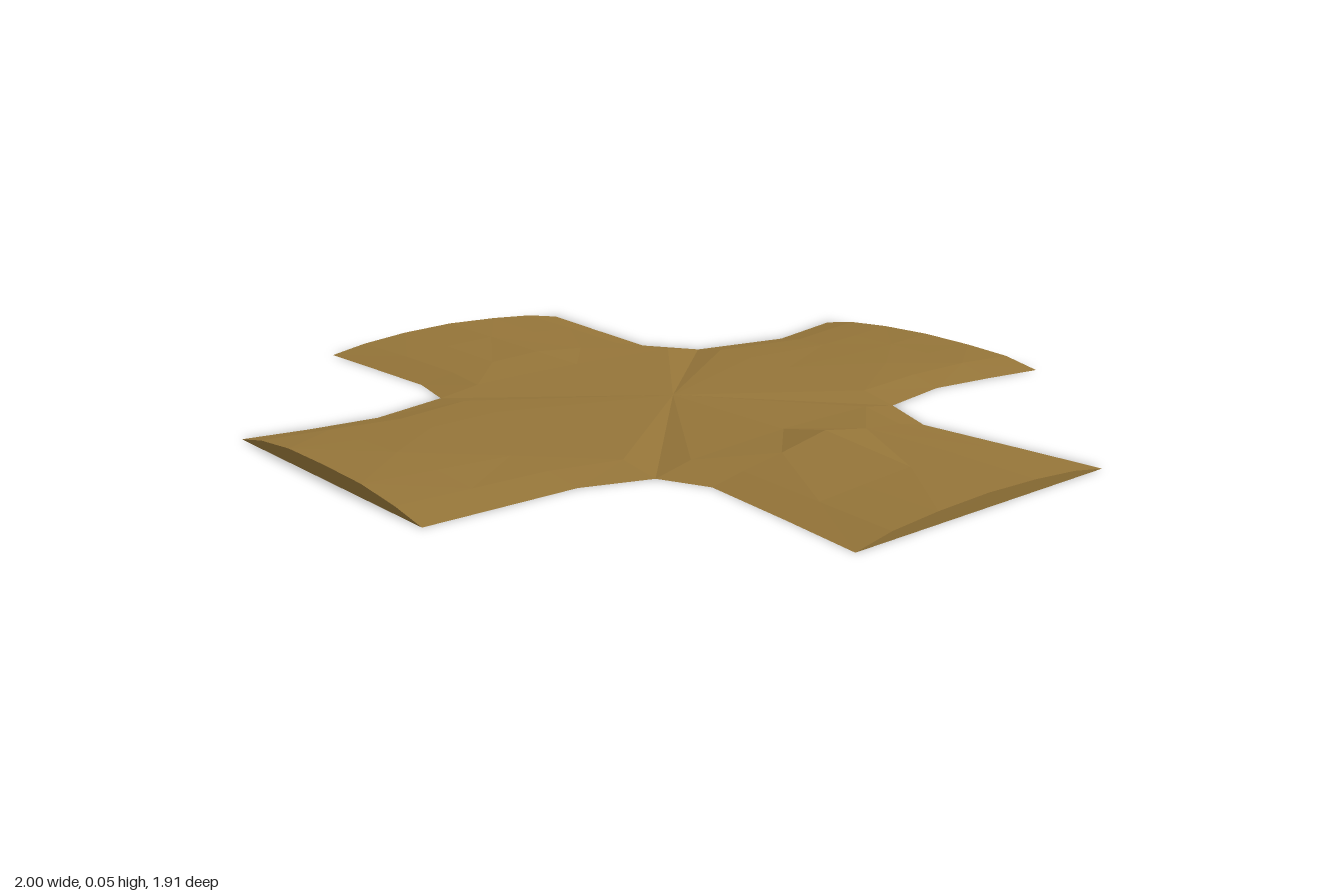
import * as THREE from 'three';

// Positions across each arm, from its left edge to its right edge
const ACROSS = [0, 0.13, 0.3, 0.5, 0.7, 0.87, 1];

// Each arm: rows from the outer end inwards, as [left x, z, right x, z, inner heights]
const ARMS = {
  backArm: [
    [-0.38, -0.96, 0.39, -0.945, [0.018, 0.028, 0.032, 0.028, 0.02]],
    [-0.35, -0.83, 0.36, -0.78, [0.017, 0.024, 0.025, 0.026, 0.023]],
    [-0.32, -0.70, 0.335, -0.60, [0.015, 0.022, 0.024, 0.025, 0.018]],
    [-0.38, -0.43, 0.37, -0.39, [0.017, 0.021, 0.022, 0.021, 0.018]],
  ],
  leftArm: [
    [1, -0.34, 0.99, 0.43, [0.016, 0.026, 0.031, 0.027, 0.018]],
    [0.79, -0.33, 0.78, 0.40, [0.02, 0.031, 0.032, 0.024, 0.016]],
    [0.53, -0.315, 0.54, 0.37, [0.02, 0.032, 0.055, 0.032, 0.016]],
    [0.37, -0.39, 0.42, 0.42, [0.018, 0.022, 0.025, 0.022, 0.018]],
  ],
  frontArm: [
    [0.35, 0.95, -0.42, 0.935, [0.017, 0.03, 0.033, 0.032, 0.02]],
    [0.355, 0.77, -0.39, 0.78, [0.016, 0.026, 0.03, 0.026, 0.021]],
    [0.36, 0.58, -0.37, 0.61, [0.015, 0.021, 0.023, 0.022, 0.017]],
    [0.42, 0.42, -0.42, 0.40, [0.016, 0.019, 0.02, 0.019, 0.016]],
  ],
  rightArm: [
    [-1, 0.37, -0.99, -0.395, [0.017, 0.029, 0.034, 0.028, 0.018]],
    [-0.78, 0.367, -0.76, -0.37, [0.02, 0.03, 0.035, 0.027, 0.021]],
    [-0.56, 0.365, -0.52, -0.345, [0.019, 0.028, 0.036, 0.025, 0.021]],
    [-0.42, 0.40, -0.38, -0.43, [0.017, 0.021, 0.023, 0.021, 0.018]],
  ],
};

// Expands a row into points; its two edges touch the ground
const expandRow = ([lx, lz, rx, rz, heights]) => ACROSS.map((t, j) =>
  [lx + (rx - lx) * t, heights[j - 1] ?? 0, lz + (rz - lz) * t]);

const flat = ([x, , z]) => [x, 0, z];

// Upper triangles plus their mirrored ground-level underside
function addSlab(out, a, b, c) {
  out.push(...a, ...b, ...c, ...flat(a), ...flat(c), ...flat(b));
}

function makeMesh(name, positions, material) {
  const geometry = new THREE.BufferGeometry();
  geometry.setAttribute('position', new THREE.Float32BufferAttribute(positions, 3));
  geometry.computeVertexNormals();
  const mesh = new THREE.Mesh(geometry, material);
  mesh.name = name;
  return mesh;
}

export function createModel() {
  const group = new THREE.Group();
  group.name = 'dirtCrossroads';
  const dirt = new THREE.MeshStandardMaterial({ color: 0x957539 });
  dirt.name = 'packed dirt';

  const centre = [0, 0.022, 0];
  const hub = [];
  for (const [name, rows] of Object.entries(ARMS)) {
    const grid = rows.map(expandRow);
    const arm = [];
    for (let j = 0; j < ACROSS.length - 1; j++) {
      // Uneven surface, with the diagonals alternating
      for (let i = 0; i < grid.length - 1; i++) {
        const a = grid[i][j], b = grid[i][j + 1];
        const c = grid[i + 1][j], d = grid[i + 1][j + 1];
        if ((i + j) % 2) {
          addSlab(arm, a, c, b);
          addSlab(arm, b, c, d);
        } else {
          addSlab(arm, a, c, d);
          addSlab(arm, a, d, b);
        }
      }
      // Upright cut at the outer end
      const a = grid[0][j], b = grid[0][j + 1];
      if (b[1] > 0) arm.push(...a, ...b, ...flat(b));
      if (a[1] > 0) arm.push(...a, ...flat(b), ...flat(a));
      // This arm's share of the middle
      const inner = grid[grid.length - 1];
      addSlab(hub, inner[j], centre, inner[j + 1]);
    }
    group.add(makeMesh(name, arm, dirt));
  }
  group.add(makeMesh('crossingCentre', hub, dirt));
  return group;
}
